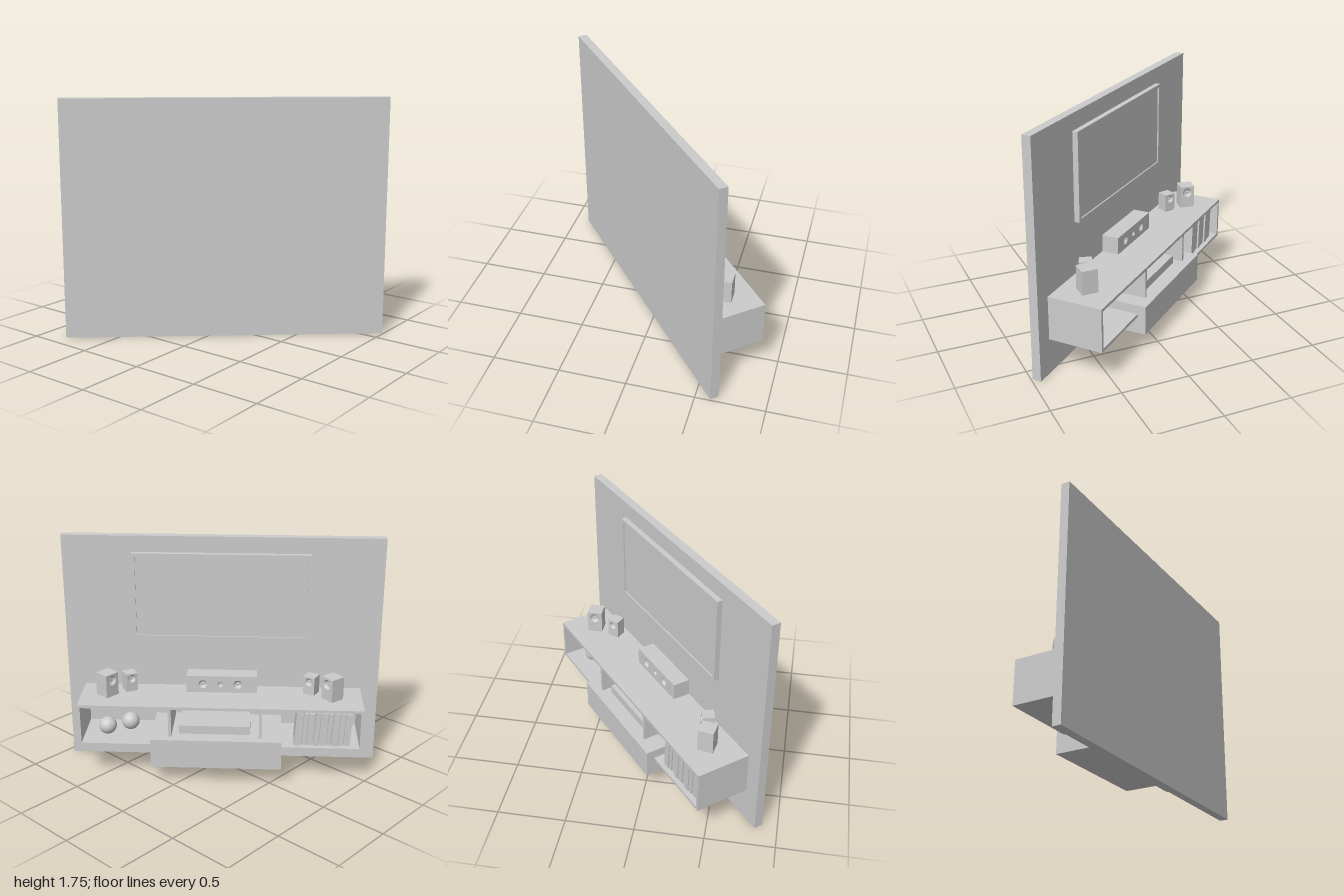
import * as THREE from 'three';

const grey = new THREE.MeshStandardMaterial({ color: 0xcccccc });
const greyDouble = new THREE.MeshStandardMaterial({ color: 0xcccccc, side: THREE.DoubleSide });

// box given by its lower and upper limits on each axis
function box(parent, name, x0, x1, y0, y1, z0, z1) {
  const mesh = new THREE.Mesh(new THREE.BoxGeometry(x1 - x0, y1 - y0, z1 - z0), grey);
  mesh.position.set((x0 + x1) / 2, (y0 + y1) / 2, (z0 + z1) / 2);
  mesh.name = name;
  parent.add(mesh);
  return mesh;
}

function rectangle(x0, x1, y0, y1, Type = THREE.Shape) {
  const s = new Type();
  s.moveTo(x0, y0);
  s.lineTo(x1, y0);
  s.lineTo(x1, y1);
  s.lineTo(x0, y1);
  s.closePath();
  return s;
}

// speaker cabinet standing on y = 0, centred on x and z, drivers [x, y, radius] on +z
function speaker(name, w, h, d, drivers) {
  const group = new THREE.Group();
  group.name = name;
  const plate = 0.025;
  box(group, 'speakerBody', -w / 2, w / 2, 0, h, -d / 2, d / 2 - plate);
  const front = rectangle(-w / 2, w / 2, 0, h);
  for (const [x, y, r] of drivers) {
    front.holes.push(new THREE.Path().absarc(x, y, r, 0, Math.PI * 2, true));
    // concave dish with a small dust cap
    const profile = [[0.001, -0.014], [0.25, -0.016], [0.35, -0.02], [0.65, -0.015], [0.88, -0.007], [1, 0]]
      .map(([k, depth]) => new THREE.Vector2(k * r, depth));
    const dish = new THREE.Mesh(new THREE.LatheGeometry(profile, 24), greyDouble);
    dish.rotation.x = Math.PI / 2;
    dish.position.set(x, y, d / 2);
    dish.name = 'driverCone';
    group.add(dish);
  }
  const face = new THREE.Mesh(
    new THREE.ExtrudeGeometry(front, { depth: plate, bevelEnabled: false, curveSegments: 12 }), grey);
  face.position.z = d / 2 - plate;
  face.name = 'speakerFront';
  group.add(face);
  return group;
}

export function createModel() {
  const model = new THREE.Group();
  model.name = 'mediaWall';

  // wall unit is built facing +z, then turned
  const unit = new THREE.Group();
  unit.name = 'wallUnit';
  unit.rotation.y = THREE.MathUtils.degToRad(130);
  model.add(unit);

  const wallZ = -0.104;
  box(unit, 'wallPanel', -1.15, 1.185, 0, 1.75, -0.169, wallZ);

  // open cabinet with three compartments
  const cabinet = new THREE.Group();
  cabinet.name = 'cabinet';
  unit.add(cabinet);
  const [left, right, low, high, front, t] = [-1.024, 1.055, 0.265, 0.59, 0.3, 0.022];
  box(cabinet, 'cabinetTop', left, right, high - t, high, wallZ, front);
  box(cabinet, 'cabinetFloor', left, right, low, low + t, wallZ, front);
  box(cabinet, 'cabinetBack', left + t, right - t, low + t, high - t, wallZ, wallZ + 0.005);
  for (const x of [left, -0.361, 0.3, right - t])
    box(cabinet, 'cabinetUpright', x, x + t, low + t, high - t, wallZ, front);

  box(unit, 'lowerDrawer', -0.487, 0.465, 0.135, 0.355, wallZ, 0.362);
  box(unit, 'discPlayer', -0.285, 0.235, 0.355, 0.42, -0.05, 0.25);

  // ornamental balls in one end compartment
  for (const [x, z] of [[-0.83, 0.13], [-0.67, 0.045]]) {
    const ball = new THREE.Mesh(new THREE.SphereGeometry(0.066, 32, 20), grey);
    ball.position.set(x, low + t + 0.066, z);
    ball.name = 'ornamentBall';
    unit.add(ball);
  }

  // leaning row of books in the other end compartment
  const books = new THREE.Group();
  books.name = 'bookRow';
  unit.add(books);
  const widths = [0.055, 0.035, 0.05, 0.04, 0.055, 0.035, 0.05, 0.04, 0.05];
  let x = 0.565;
  widths.forEach((w, i) => {
    const inset = (i % 3) * 0.006;
    const book = box(books, 'book', x, x + w - 0.004, low + t + 0.002, 0.55 - inset, 0.07, 0.27 - inset);
    book.rotation.z = -0.06;
    x += w;
  });

  // television: frame with a bowed lower edge around a recessed screen
  const tv = new THREE.Group();
  tv.name = 'television';
  unit.add(tv);
  const [tx0, tx1, ty0, ty1] = [-0.642, 0.655, 0.98, 1.63];
  const outline = new THREE.Shape();
  outline.moveTo(tx0, ty1);
  outline.lineTo(tx0, ty0);
  outline.quadraticCurveTo((tx0 + tx1) / 2, 0.9, tx1, ty0);
  outline.lineTo(tx1, ty1);
  outline.closePath();
  outline.holes.push(rectangle(tx0 + 0.025, tx1 - 0.025, 1.003, ty1 - 0.023, THREE.Path));
  const frame = new THREE.Mesh(
    new THREE.ExtrudeGeometry(outline, { depth: 0.04, bevelEnabled: false, curveSegments: 24 }), grey);
  frame.position.z = wallZ;
  frame.name = 'televisionFrame';
  tv.add(frame);
  box(tv, 'screen', tx0 + 0.02, tx1 - 0.02, 1, ty1 - 0.02, wallZ, wallZ + 0.03);

  // centre speaker
  const centre = speaker('centreSpeaker', 0.524, 0.13, 0.129,
    [[-0.14, 0.065, 0.032], [-0.01, 0.065, 0.021], [0.12, 0.065, 0.032]]);
  centre.position.set(0.017, high, -0.039);
  unit.add(centre);

  // satellite speakers, each turned toward the listener: x, z, turn, width, height
  for (const [sx, sz, turn, w, h] of [
    [-0.467, -0.697, 1.39, 0.113, 0.175],
    [-0.445, -0.517, 1.79, 0.09, 0.14],
    [0.426, 0.521, 2.76, 0.09, 0.14],
    [0.6, 0.577, Math.PI, 0.115, 0.175],
  ]) {
    const satellite = speaker('satelliteSpeaker', w, h, w, [[0, h * 0.71, w * 0.33]]);
    satellite.position.set(sx, high, sz);
    satellite.rotation.y = turn;
    model.add(satellite);
  }
  return model;
}
